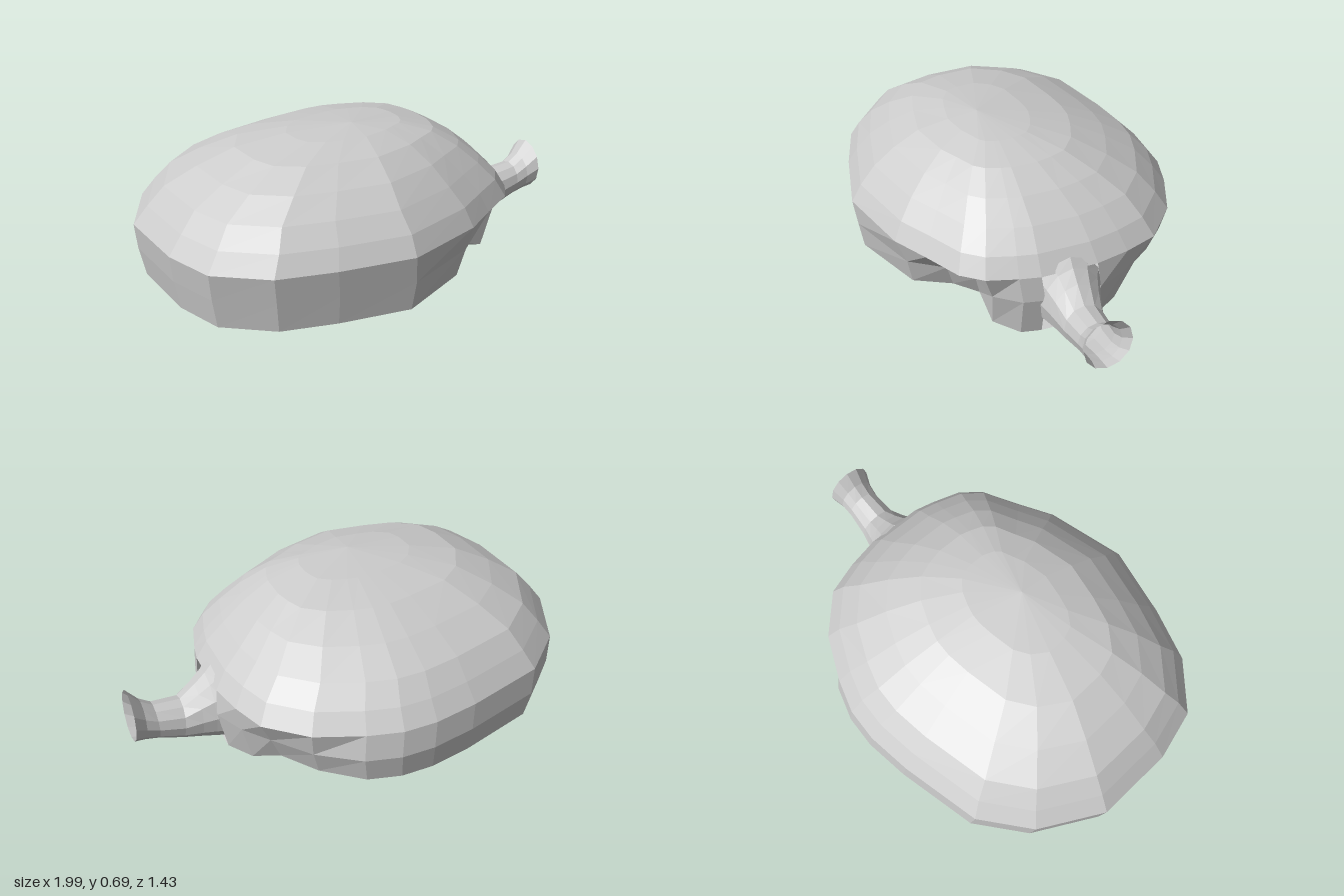
import * as THREE from 'three';

const material = new THREE.MeshStandardMaterial({
  color: 0xcccccc, flatShading: true, side: THREE.DoubleSide,
});

// Plan outline at the widest level, as [x, z], from the back round to the spout and home
const outline = [
  [-1, -0.15], [-0.86, -0.43], [-0.66, -0.6], [-0.3, -0.69], [-0.1, -0.72], [0.05, -0.715],
  [0.2, -0.67], [0.4, -0.58], [0.56, -0.43], [0.61, -0.28], [0.64, -0.13], [0.64, 0.12],
  [0.62, 0.21], [0.58, 0.34], [0.51, 0.43], [0.35, 0.52], [0.2, 0.61], [-0.15, 0.71],
  [-0.47, 0.65], [-0.71, 0.58], [-0.91, 0.42], [-0.98, 0.2],
];

// Each level: height, x range and z range the outline is fitted to
const levels = [
  [0.07, -0.96, 0.6, -0.69, 0.68],
  [0.2, -0.985, 0.64, -0.715, 0.7],
  [0.32, -1, 0.63, -0.7, 0.715],
  [0.4, -0.94, 0.58, -0.64, 0.67],
  [0.48, -0.87, 0.5, -0.56, 0.6],
  [0.56, -0.74, 0.4, -0.42, 0.51],
  [0.63, -0.59, 0.28, -0.26, 0.4],
  [0.67, -0.38, 0.13, -0.08, 0.27],
];

// Columns whose lower wall is pressed in beside the mouth, and how far
const dents = { 7: 0.06, 8: 0.1, 9: 0.04, 13: 0.06, 14: 0.17, 15: 0.13, 16: 0.04 };
const isLip = (i) => i >= 9 && i <= 13;

function geometryFrom(positions, index) {
  const g = new THREE.BufferGeometry();
  g.setAttribute('position', new THREE.Float32BufferAttribute(positions.flat(), 3));
  g.setIndex(index);
  g.computeVertexNormals();
  return g;
}

function makeShell() {
  const n = outline.length, points = [], index = [];
  levels.forEach(([y, x0, x1, z0, z1], level) => {
    outline.forEach(([ox, oz], i) => {
      let x = THREE.MathUtils.mapLinear(ox, -1, 0.64, x0, x1);
      let z = THREE.MathUtils.mapLinear(oz, -0.72, 0.71, z0, z1);
      let h = y;
      if (level < 2 && dents[i]) {
        const length = Math.hypot(x, z), pull = dents[i] * (level ? 0.8 : 1);
        x -= (x / length) * pull;
        z -= (z / length) * pull;
      }
      if (level === 0 && isLip(i)) h = i === 9 || i === 13 ? 0.02 : 0.005;
      points.push([x, h, z]);
    });
  });
  for (let level = 0; level < levels.length - 1; level++) {
    for (let i = 0; i < n; i++) {
      if (level < 2 && i === 10) continue; // mouth opening
      const a = level * n + i, b = level * n + (i + 1) % n;
      index.push(a, a + n, b, b, a + n, b + n);
    }
  }
  // Crown
  const top = points.push([-0.11, 0.69, 0.14]) - 1, last = (levels.length - 1) * n;
  for (let i = 0; i < n; i++) index.push(last + i, top, last + (i + 1) % n);
  return geometryFrom(points, index);
}

// Underside of the drooping lip, curling back in from the mouth
function makeLip() {
  const points = [], index = [];
  const [, x0, x1, z0, z1] = levels[0];
  for (let i = 8; i <= 14; i++) {
    let x = THREE.MathUtils.mapLinear(outline[i][0], -1, 0.64, x0, x1);
    let z = THREE.MathUtils.mapLinear(outline[i][1], -0.72, 0.71, z0, z1);
    const s = 1 - (dents[i] || 0) / Math.hypot(x, z);
    x *= s;
    z *= s;
    const y = !isLip(i) ? 0.07 : i === 9 || i === 13 ? 0.02 : 0.005;
    points.push([x, y, z], [x * 0.82, (y + 0.07) / 2 - 0.01, z * 0.94],
      [Math.min(x * 0.9, 0.33), 0.07, z * 0.9]);
  }
  for (let i = 0; i < 6; i++) {
    for (let j = 0; j < 2; j++) {
      const a = i * 3 + j, b = a + 3;
      index.push(a, b, a + 1, b, b + 1, a + 1);
    }
  }
  return geometryFrom(points, index);
}

// Open spout: rings of [x at bottom, x at top, bottom, top, half width]
function makeSpout() {
  const rings = [
    [0.59, 0.61, 0.0, 0.37, 0.15], [0.64, 0.64, 0.01, 0.335, 0.13], [0.7, 0.69, 0.025, 0.29, 0.11],
    [0.78, 0.76, 0.045, 0.235, 0.09], [0.88, 0.88, 0.08, 0.245, 0.08],
    [0.94, 0.93, 0.095, 0.28, 0.085], [0.99, 0.98, 0.105, 0.34, 0.105],
  ];
  const sides = 12, points = [], index = [];
  for (const [xb, xt, bottom, top, half] of rings) {
    for (let k = 0; k < sides; k++) {
      const a = (k / sides) * Math.PI * 2, t = (Math.sin(a) + 1) / 2;
      points.push([xb + (xt - xb) * t, bottom + (top - bottom) * t, Math.cos(a) * half]);
    }
  }
  for (let r = 0; r < rings.length - 1; r++) {
    for (let k = 0; k < sides; k++) {
      const a = r * sides + k, b = r * sides + (k + 1) % sides;
      index.push(a, a + sides, b, b, a + sides, b + sides);
    }
  }
  return geometryFrom(points, index);
}

export function createModel() {
  const group = new THREE.Group();
  group.name = 'openShellWithSpout';
  const parts = { shell: makeShell(), lip: makeLip(), spout: makeSpout() };
  for (const [name, geometry] of Object.entries(parts)) {
    const mesh = new THREE.Mesh(geometry, material);
    mesh.name = name;
    group.add(mesh);
  }
  return group;
}
